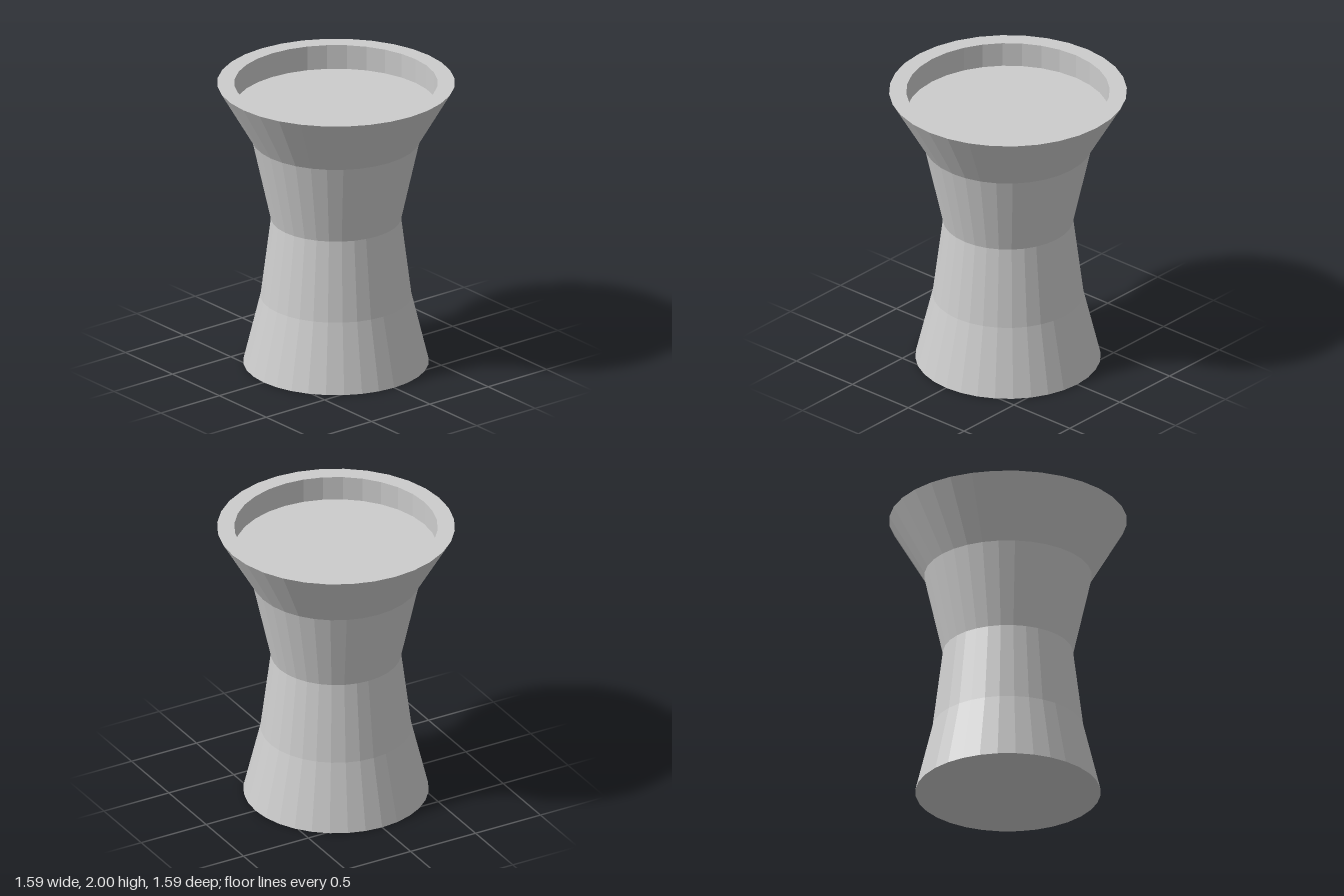
import * as THREE from 'three';

const SIDES = 32;

// Revolved profile with crisp flat facets
function facetedLathe(points) {
  const geometry = new THREE.LatheGeometry(
    points.map(([r, y]) => new THREE.Vector2(r, y)), SIDES).toNonIndexed();
  geometry.computeVertexNormals();
  return geometry;
}

export function createModel() {
  const group = new THREE.Group();
  group.name = 'waistedStool';
  const grey = new THREE.MeshStandardMaterial({ color: 0xcccccc });
  grey.name = 'light grey';

  const add = (name, geometry) => {
    const mesh = new THREE.Mesh(geometry, grey);
    mesh.name = name;
    group.add(mesh);
    return mesh;
  };

  // Flared outer wall, pinched at the waist
  add('body', facetedLathe([[0.62, 0], [0.505, 0.475], [0.435, 1.03], [0.56, 1.595], [0.795, 2]]));

  // Flat rim and the upright wall of the recess
  add('rim', facetedLathe([[0.795, 2], [0.68, 2]]));
  add('recessWall', facetedLathe([[0.68, 2], [0.68, 1.83]]));

  // Recess floor and closed underside
  const floor = add('recessFloor', new THREE.CircleGeometry(0.68, SIDES));
  floor.rotation.x = -Math.PI / 2;
  floor.position.y = 1.83;
  const base = add('base', new THREE.CircleGeometry(0.62, SIDES));
  base.rotation.x = Math.PI / 2;

  return group;
}
